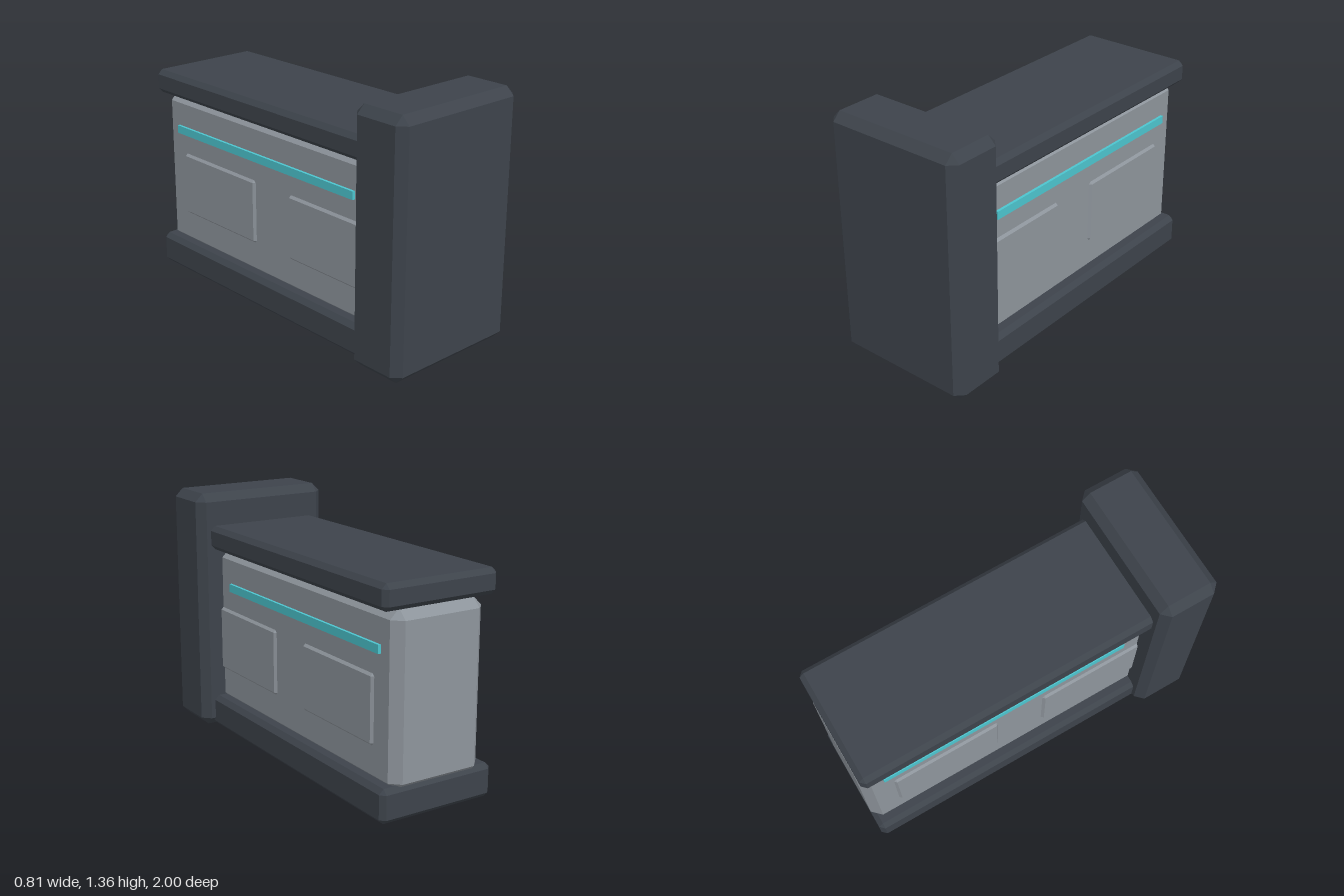
import * as THREE from 'three';
import { ConvexGeometry } from 'three/addons/geometries/ConvexGeometry.js';

const flat = (name, color) => {
  const m = new THREE.MeshStandardMaterial({ color });
  m.name = name;
  return m;
};

// Box with every edge cut at 45 degrees, given by its min and max corners.
function chamferedBox(min, max, c) {
  const half = max.map((v, i) => (v - min[i]) / 2);
  const mid = max.map((v, i) => (v + min[i]) / 2);
  const points = [];
  for (const sx of [-1, 1]) for (const sy of [-1, 1]) for (const sz of [-1, 1]) {
    const s = [sx, sy, sz];
    for (let axis = 0; axis < 3; axis++) {
      // each corner becomes three points, one on each adjoining face
      points.push(new THREE.Vector3(...s.map((v, i) => mid[i] + v * (half[i] - (i === axis ? 0 : c)))));
    }
  }
  return new ConvexGeometry(points);
}

export function createModel() {
  const group = new THREE.Group();
  const dark = flat('dark slate', 0x3d434b);
  const grey = flat('panel grey', 0x8d949b);
  const cyan = flat('cyan light', 0x4cc4ce);

  const add = (name, geometry, material) => {
    const mesh = new THREE.Mesh(geometry, material);
    mesh.name = name;
    group.add(mesh);
    return mesh;
  };

  // Main blocks
  add('endPillar', chamferedBox([-0.405, 0, 0.665], [0.405, 1.355, 1], 0.045), dark);
  add('base', chamferedBox([-0.335, 0, -1], [0.335, 0.18, 0.75], 0.026), dark);
  add('topRail', chamferedBox([-0.335, 1.042, -1], [0.335, 1.175, 0.75], 0.026), dark);
  const h = 0.268;
  add('wallBody', chamferedBox([-h, 0.138, -1], [h, 1.042, 0.8], 0.051), grey);

  // Raised panels and light strip on both sides
  for (const [side, s] of [['left', 1], ['right', -1]]) {
    const xs = (out) => [s * (h - 0.03), s * (h + out)].sort((a, b) => a - b);
    const [p0, p1] = xs(0.013);
    [[0.07, 0.695], [-0.83, -0.205]].forEach(([z0, z1], i) => {
      add(`${side}Panel${i + 1}`, chamferedBox([p0, 0.34, z0], [p1, 0.702, z1], 0.013), grey);
    });
    const strip = add(`${side}LightStrip`, new THREE.BoxGeometry(0.04, 0.045, 1.44), cyan);
    strip.position.set(s * (h - 0.005), 0.837, -0.16);
  }
  return group;
}
